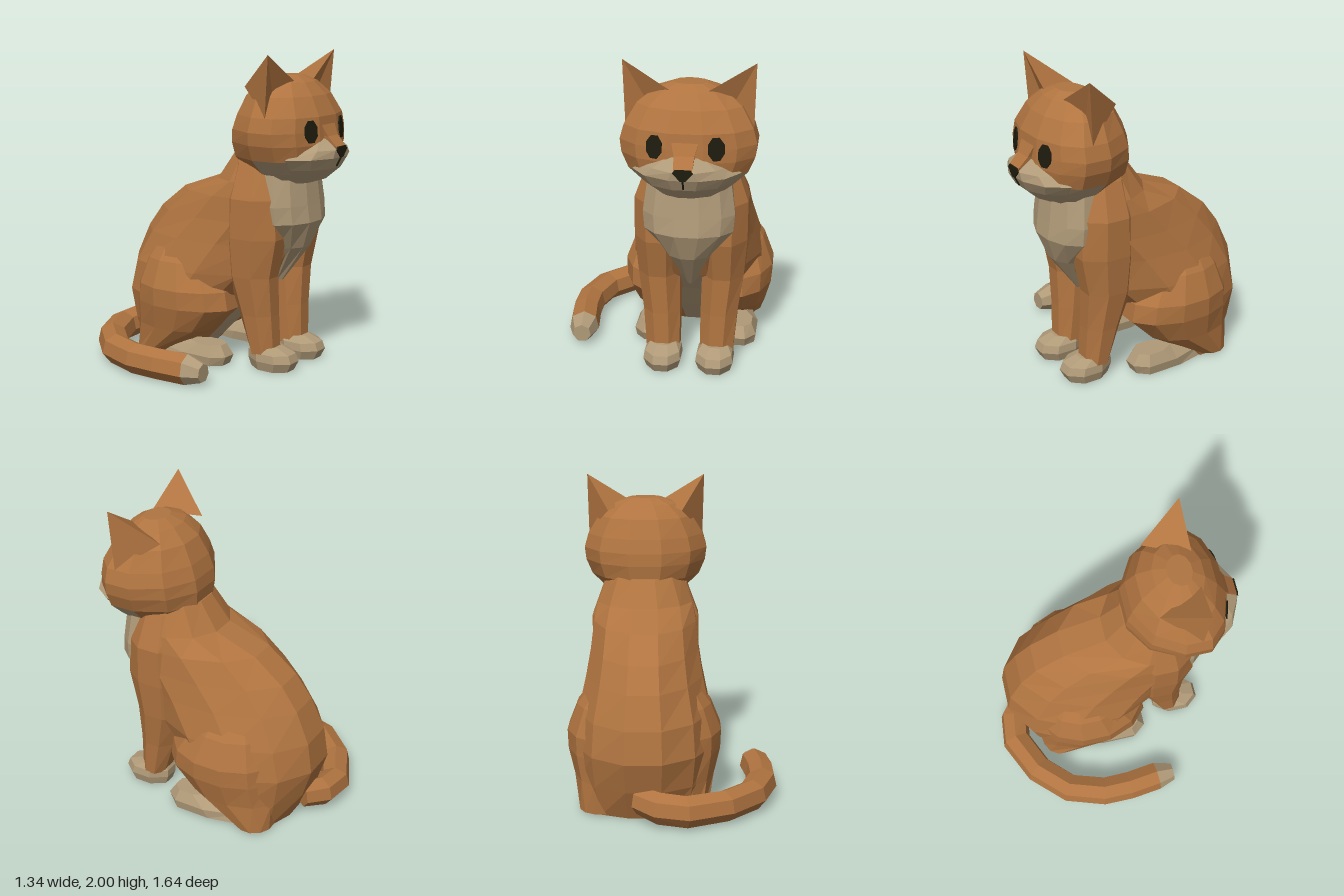
import * as THREE from 'three';

const mat = (name, color) => {
  const m = new THREE.MeshStandardMaterial({ color, flatShading: true });
  m.name = name;
  return m;
};

export function createModel() {
  const orange = mat('orange fur', 0xb07440);
  const cream = mat('cream fur', 0xb09a78);
  const black = mat('black', 0x1e1c0e);
  const model = new THREE.Group();
  model.name = 'sittingCat';
  const cat = new THREE.Group();
  cat.name = 'cat';
  cat.position.x = 0.18;
  model.add(cat);

  const add = (name, geo, material) => {
    const m = new THREE.Mesh(geo, material);
    m.name = name;
    cat.add(m);
    return m;
  };

  // Skin a stack of rings with capped ends; pick(i, j) chooses the material
  // (i = -1 is the bottom cap, i = last ring is the top cap)
  function loft(name, rings, mats, pick = () => 0) {
    const lists = mats.map(() => []);
    const n = rings[0].length, last = rings.length - 1;
    const mid = r => r.reduce((s, p) => s.add(p), new THREE.Vector3()).divideScalar(n);
    const c0 = mid(rings[0]), c1 = mid(rings[last]);
    const tri = (k, ...ps) => ps.forEach(p => lists[k].push(p.x, p.y, p.z));
    for (let j = 0; j < n; j++) {
      const q = (j + 1) % n;
      for (let i = 0; i < last; i++) {
        const k = pick(i, j), a = rings[i], b = rings[i + 1];
        tri(k, a[j], a[q], b[q]);
        tri(k, a[j], b[q], b[j]);
      }
      tri(pick(-1, j), c0, rings[0][q], rings[0][j]);
      tri(pick(last, j), c1, rings[last][j], rings[last][q]);
    }
    const geo = new THREE.BufferGeometry();
    geo.setAttribute('position', new THREE.Float32BufferAttribute(lists.flat(), 3));
    let start = 0;
    lists.forEach((l, k) => {
      geo.addGroup(start, l.length / 3, k);
      start += l.length / 3;
    });
    geo.computeVertexNormals();
    return add(name, geo, mats);
  }

  // Horizontal rings from rows of [y, half width, back z, widest z, front z, centre x]
  const stack = (rows, n = 12, s = 1) => rows.map(([y, hw, zb, zc, zf, cx = 0]) =>
    Array.from({ length: n }, (_, j) => {
      const a = (j + 0.5) * 2 * Math.PI / n, k = 1 / Math.cos(Math.PI / n);
      const c = Math.cos(a) * k;
      return new THREE.Vector3(s * cx + Math.sin(a) * k * hw, y, zc + c * (c > 0 ? zf - zc : zc - zb));
    }));

  // Torso with cream belly and underside
  loft('torso', stack([
    [0, 0.36, -0.58, -0.36, -0.2],
    [0.2, 0.41, -0.67, -0.28, 0.0],
    [0.4, 0.43, -0.73, -0.24, 0.17],
    [0.6, 0.415, -0.7, -0.16, 0.4],
    [0.8, 0.37, -0.61, -0.02, 0.52],
    [0.95, 0.345, -0.5, 0.12, 0.57],
    [1.1, 0.33, -0.31, 0.22, 0.55],
    [1.2, 0.31, -0.03, 0.28, 0.53],
    [1.37, 0.24, 0.09, 0.3, 0.5],
  ]), [orange, cream], (i, j) => (i < 0 || (i < 3 && j === 11) ? 1 : 0));

  // Cream chest bib
  loft('chest', stack([
    [0.54, 0.03, 0.2, 0.3, 0.4],
    [0.78, 0.155, 0.2, 0.4, 0.575],
    [0.95, 0.27, 0.2, 0.46, 0.64],
    [1.06, 0.28, 0.2, 0.46, 0.625],
    [1.28, 0.25, 0.2, 0.44, 0.6],
  ]), [cream]);

  for (const s of [1, -1]) {
    const side = s > 0 ? 'left' : 'right';
    // Haunch
    loft(side + 'Haunch', stack([
      [0.01, 0.13, -0.54, -0.42, -0.3, 0.27],
      [0.2, 0.19, -0.55, -0.22, 0.02, 0.25],
      [0.36, 0.235, -0.54, -0.19, 0.18, 0.245],
      [0.48, 0.24, -0.53, -0.19, 0.16, 0.245],
      [0.65, 0.19, -0.47, -0.21, 0.04, 0.23],
      [0.8, 0.1, -0.38, -0.23, -0.1, 0.21],
    ], 12, s), [orange]);
    // Foreleg and shoulder
    loft(side + 'Foreleg', stack([
      [0.1, 0.105, 0.3, 0.38, 0.47, 0.17],
      [0.35, 0.115, 0.22, 0.34, 0.46, 0.18],
      [0.6, 0.13, 0.14, 0.3, 0.46, 0.2],
      [0.85, 0.15, 0.12, 0.3, 0.51, 0.2],
      [1.1, 0.15, 0.14, 0.3, 0.5, 0.2],
      [1.32, 0.1, 0.16, 0.3, 0.44, 0.17],
    ], 8, s), [orange]);
    // Paws
    loft(side + 'FrontPaw', stack([
      [0, 0.1, 0.3, 0.45, 0.57, 0.165],
      [0.06, 0.117, 0.28, 0.46, 0.6, 0.165],
      [0.11, 0.11, 0.28, 0.45, 0.58, 0.165],
      [0.145, 0.08, 0.3, 0.4, 0.49, 0.165],
    ], 8, s), [cream]);
    loft(side + 'HindPaw', stack([
      [0, 0.1, -0.4, 0.05, 0.16, 0.29],
      [0.06, 0.11, -0.32, 0.05, 0.185, 0.29],
      [0.13, 0.08, -0.1, 0.05, 0.14, 0.29],
    ], 8, s), [cream]);

    // Ear: a hollow-fronted pyramid
    const P = [[0.38, 1.62, 0.5], [0.1, 1.82, 0.54], [0.24, 1.79, 0.26], [0.39, 2.0, 0.525], [0.27, 1.77, 0.48]];
    const faces = [[4, 0, 3], [1, 4, 3], [0, 4, 1], [0, 2, 3], [2, 1, 3]];
    const pos = faces.flatMap(f => (s > 0 ? f : [f[0], f[2], f[1]]).flatMap(i => [s * P[i][0], P[i][1], P[i][2]]));
    const ear = new THREE.BufferGeometry();
    ear.setAttribute('position', new THREE.Float32BufferAttribute(pos, 3));
    ear.computeVertexNormals();
    add(side + 'Ear', ear, orange);

    // Eye plate
    const eye = add(side + 'Eye', new THREE.CylinderGeometry(1, 1, 0.009, 8).rotateX(Math.PI / 2).rotateZ(Math.PI / 8).scale(0.052, 0.073, 1), black);
    eye.rotation.set(-0.1, s * 0.31, 0, 'YXZ');
    eye.position.set(s * 0.18, 1.535, 0.704);
  }

  // Head with cream jaw
  loft('head', stack([
    [1.2, 0.19, 0.28, 0.48, 0.62],
    [1.27, 0.27, 0.17, 0.49, 0.68],
    [1.355, 0.355, 0.1, 0.5, 0.72],
    [1.45, 0.395, 0.09, 0.5, 0.73],
    [1.53, 0.405, 0.1, 0.5, 0.722],
    [1.62, 0.38, 0.13, 0.5, 0.712],
    [1.74, 0.31, 0.19, 0.47, 0.65],
    [1.82, 0.21, 0.28, 0.44, 0.58],
    [1.86, 0.1, 0.36, 0.44, 0.51],
  ]), [orange, cream], (i, j) => (i < 2 && (j < 3 || j > 7) ? 1 : 0));

  // Muzzle, bridge, nose and mouth line
  loft('muzzle', stack([
    [1.22, 0.16, 0.4, 0.55, 0.68],
    [1.3, 0.26, 0.4, 0.55, 0.77],
    [1.37, 0.32, 0.4, 0.55, 0.807],
    [1.42, 0.25, 0.4, 0.58, 0.812],
    [1.485, 0.14, 0.4, 0.62, 0.745],
  ]), [cream]);
  loft('noseBridge', stack([
    [1.4, 0.04, 0.6, 0.65, 0.813],
    [1.44, 0.055, 0.6, 0.65, 0.81],
    [1.5, 0.06, 0.6, 0.65, 0.752],
    [1.58, 0.08, 0.6, 0.65, 0.712],
  ], 4), [orange]);
  const nose = new THREE.Shape([[-0.06, 1.42], [-0.015, 1.372], [0.015, 1.372], [0.06, 1.42], [0.045, 1.44], [-0.045, 1.44]]
    .map(p => new THREE.Vector2(...p)));
  add('nose', new THREE.ExtrudeGeometry(nose, { depth: 0.009, bevelEnabled: false }), black).position.z = 0.811;
  const mouth = add('mouthLine', new THREE.BoxGeometry(0.01, 0.075, 0.009), black);
  mouth.position.set(0, 1.347, 0.798);
  mouth.rotation.x = 0.48;

  // Curled tail, cream at the tip: [x, y, z, radius]
  const path = [
    [0.02, 0.14, -0.62, 0.09], [-0.1, 0.12, -0.705, 0.1], [-0.26, 0.105, -0.725, 0.1],
    [-0.5, 0.1, -0.615, 0.098], [-0.68, 0.098, -0.43, 0.098], [-0.755, 0.095, -0.2, 0.098],
    [-0.755, 0.095, -0.02, 0.098], [-0.73, 0.09, 0.18, 0.098], [-0.725, 0.085, 0.295, 0.06],
  ];
  const pts = path.map(p => new THREE.Vector3(p[0], p[1], p[2]));
  const up = new THREE.Vector3(0, 1, 0);
  const tailRings = pts.map((p, i) => {
    const d = pts[Math.min(i + 1, pts.length - 1)].clone().sub(pts[Math.max(i - 1, 0)]).setY(0).normalize();
    const across = d.clone().cross(up);
    return Array.from({ length: 7 }, (_, j) => {
      const a = j * 2 * Math.PI / 7, r = path[i][3];
      return p.clone().addScaledVector(up, r * Math.cos(a)).addScaledVector(across, r * Math.sin(a));
    });
  });
  loft('tail', tailRings, [orange, cream], i => (i >= 7 ? 1 : 0));

  return model;
}
